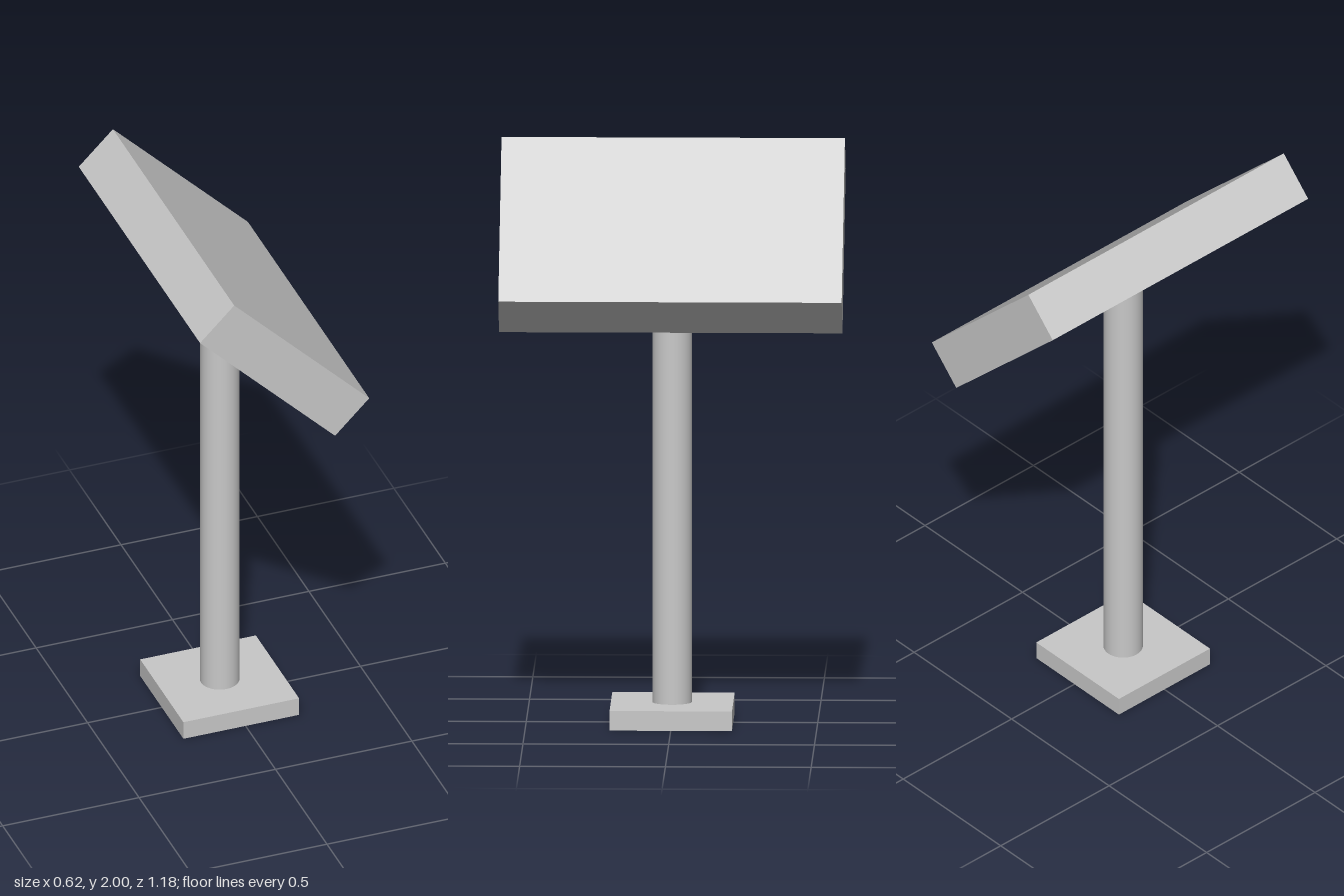
import * as THREE from 'three';

export function createModel() {
  const model = new THREE.Group();
  const lightGrey = new THREE.MeshStandardMaterial({ color: 0xc8c8c8 });

  const add = (name, geometry, x, y, z) => {
    const mesh = new THREE.Mesh(geometry, lightGrey);
    mesh.name = name;
    mesh.position.set(x, y, z);
    model.add(mesh);
    return mesh;
  };

  // Square foot plate
  add('basePlate', new THREE.BoxGeometry(0.424, 0.068, 0.42), -0.016, 0.034, 0);

  // Round post, its top end buried in the panel
  const postBottom = 0.06, postTop = 1.69;
  add('post', new THREE.CylinderGeometry(0.068, 0.068, postTop - postBottom, 48),
    -0.016, (postBottom + postTop) / 2, 0);

  // Thick panel, tilted 45 degrees down towards +x
  const panel = add('panel', new THREE.BoxGeometry(0.7, 0.177, 1.178), 0, 1.69, 0);
  panel.rotation.z = -Math.PI / 4;

  return model;
}
